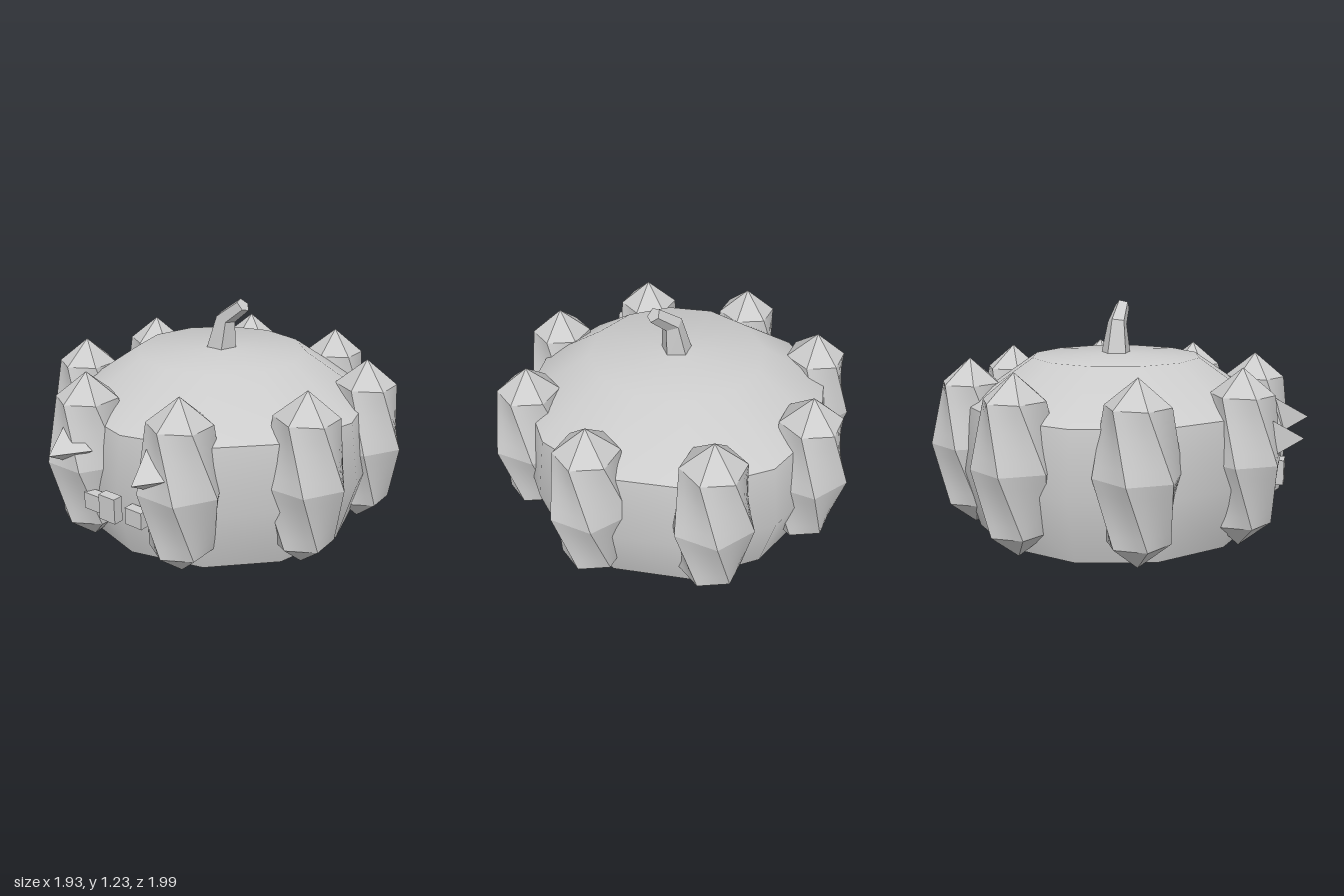
import * as THREE from 'three';
import { toCreasedNormals } from 'three/addons/utils/BufferGeometryUtils.js';

const CENTRE_Z = -0.06;

// Polygon ring around a centre, each side split into "split" pieces; "tilt" leans it towards +x.
function ring(cx, cy, radius, sides, turn = 0, tilt = 0, split = 1) {
  const corner = (i) => {
    const a = turn + (i / sides) * Math.PI * 2;
    const x = Math.sin(a) * radius;
    return new THREE.Vector3(cx + x * Math.cos(tilt), cy - x * Math.sin(tilt), Math.cos(a) * radius);
  };
  const points = [];
  for (let i = 0; i < sides; i++) {
    for (let k = 0; k < split; k++) points.push(corner(i).lerp(corner(i + 1), k / split));
  }
  return points;
}

// Skin over rings listed from top to bottom, with "steps" rows between each pair.
function loft(rings, steps = 1) {
  const n = rings[0].length;
  const rows = [rings[0]];
  for (let r = 0; r + 1 < rings.length; r++) {
    for (let s = 1; s <= steps; s++) {
      rows.push(rings[r].map((p, i) => p.clone().lerp(rings[r + 1][i], s / steps)));
    }
  }
  const index = [];
  for (let r = 0; r + 1 < rows.length; r++) {
    for (let j = 0; j < n; j++) {
      const a = r * n + j, b = r * n + (j + 1) % n;
      index.push(a, a + n, b, b, a + n, b + n);
    }
  }
  const geometry = new THREE.BufferGeometry().setFromPoints(rows.flat());
  geometry.setIndex(index);
  return toCreasedNormals(geometry, 0.3);
}

export function createModel() {
  const model = new THREE.Group();
  const grey = new THREE.MeshStandardMaterial({ color: 0xcccccc, side: THREE.DoubleSide });
  grey.name = 'plain grey';

  const add = (name, geometry, x = 0, y = 0, z = 0) => {
    const mesh = new THREE.Mesh(geometry, grey);
    mesh.name = name;
    mesh.position.set(x, y, z);
    model.add(mesh);
    return mesh;
  };
  const lathe = (profile) =>
    new THREE.LatheGeometry(profile.map(([r, y]) => new THREE.Vector2(r, y)), 12);

  // Hollow twelve-sided body, open underneath, with a crease below the dome
  add('bodyWall', lathe([[0.78, 0.01], [0.88, 0.35], [0.83, 0.69]]), 0, 0, CENTRE_Z);
  add('bodyDome', lathe([[0.83, 0.69], [0.47, 0.935], [0, 0.955]]), 0, 0, CENTRE_Z);

  // Eight twisted six-sided ribs around the body
  const step = Math.PI / 6;
  const ribGeometry = loft([
    [0, 0.935, 0], [0.165, 0.8, 0], [0.225, 0.468, 1], [0.165, 0.137, 2], [0, 0, 2],
  ].map(([r, y, turn]) => ring(0, y, r, 6, turn * step, 0, 4)), 5);
  for (let i = 0; i < 8; i++) {
    const a = (i + 0.5) * Math.PI / 4;
    add('rib' + (i + 1), ribGeometry, Math.sin(a) * 0.803, 0, CENTRE_Z + Math.cos(a) * 0.803);
  }

  // Bent five-sided stem
  const stem = loft([
    ring(0.145, 1.203, 0, 5, Math.PI, 0.82),
    ring(0.145, 1.203, 0.042, 5, Math.PI, 0.82),
    ring(0.03, 1.115, 0.056, 5, Math.PI, 0.4),
    ring(0, 0.945, 0.085, 5, Math.PI, 0),
  ]);
  add('stem', stem, 0, 0, CENTRE_Z);

  // Three-sided spike eyes, both with one corner towards +x
  const eye = new THREE.ConeGeometry(0.125, 0.18, 3).toNonIndexed();
  eye.rotateY(Math.PI / 2).rotateX(Math.PI / 2);
  eye.computeVertexNormals();
  for (const side of [-1, 1]) {
    add(side > 0 ? 'leftEye' : 'rightEye', eye, side * 0.275, 0.582, 0.905);
  }

  // Row of block teeth, getting shorter and further back to the sides
  for (const i of [-2, -1, 0, 1, 2]) {
    const k = Math.abs(i);
    const height = 0.135 - 0.045 * k;
    add('tooth' + (i + 3), new THREE.BoxGeometry(0.105, height, 0.055),
      i * 0.141, 0.265 + height / 2, 0.86 - 0.037 * k);
  }

  return model;
}
